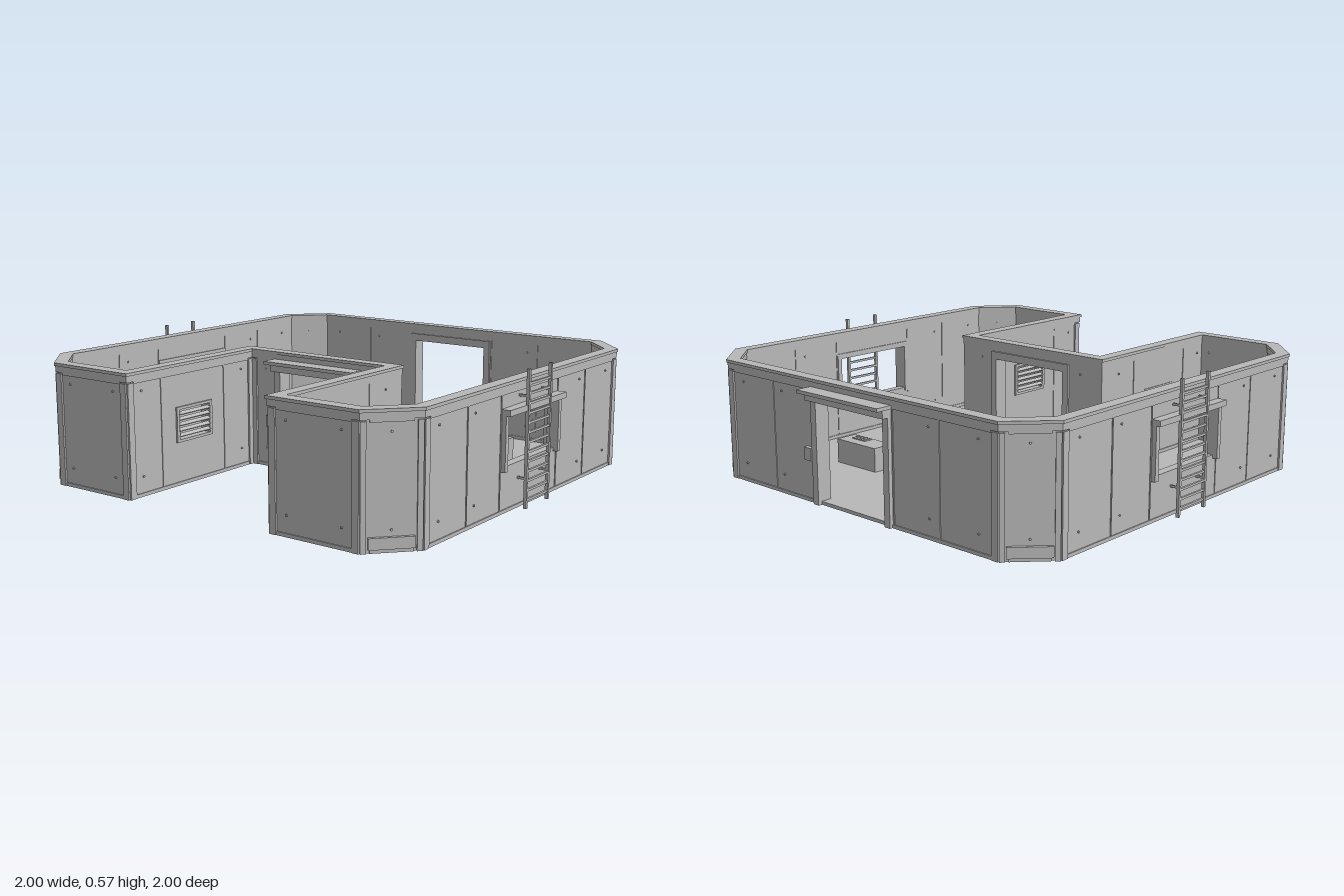
import * as THREE from 'three';

const grey = new THREE.MeshStandardMaterial({ color: 0xb8b8b8 });
grey.name = 'plain grey';

// Plan corners (x, z); the left half is mirrored to make the right half
const half = [[0.365, 0.22], [0.365, 1], [0.8, 1], [0.965, 0.82], [0.965, -0.76], [0.8, -0.93]];
const plan = [...half, ...half.map(([x, z]) => [-x, z]).reverse()]
  .map(([x, z]) => new THREE.Vector2(x, z));

const WALL_INSET = 0.012, THICK = 0.04, WALL_TOP = 0.5;

// Moves every side of a closed plan inward by d, with mitred corners
function inset(points, d) {
  const n = points.length;
  const normal = (i) => {
    const e = points[(i + 1) % n].clone().sub(points[i]).normalize();
    return new THREE.Vector2(e.y, -e.x);
  };
  return points.map((p, i) => {
    const a = normal((i + n - 1) % n), b = normal(i);
    return p.clone().addScaledVector(a.clone().add(b), d / (1 + a.dot(b)));
  });
}

function add(parent, name, geometry) {
  const mesh = new THREE.Mesh(geometry, grey);
  mesh.name = name;
  parent.add(mesh);
  return mesh;
}

// Box given by its ranges in x, y and z
function box(parent, name, [x0, x1], [y0, y1], [z0, z1]) {
  const mesh = add(parent, name, new THREE.BoxGeometry(x1 - x0, y1 - y0, z1 - z0));
  mesh.position.set((x0 + x1) / 2, (y0 + y1) / 2, (z0 + z1) / 2);
  return mesh;
}

// Horizontal slab or ring following the plan
function slab(parent, name, outer, inner, y0, y1) {
  const flip = (pts) => pts.map((p) => new THREE.Vector2(p.x, -p.y));
  const shape = new THREE.Shape(flip(outer));
  if (inner) shape.holes.push(new THREE.Path(flip(inner)));
  const geo = new THREE.ExtrudeGeometry(shape, { depth: y1 - y0, bevelEnabled: false });
  geo.rotateX(-Math.PI / 2).translate(0, y0, 0);
  add(parent, name, geo);
}

const rect = (x0, x1, y0, y1) => [[x0, y0], [x1, y0], [x1, y1], [x0, y1]]
  .map(([x, y]) => new THREE.Vector2(x, y));

// Door frame with projecting canopy and a keypad; +z is outward
function addDoor(g) {
  for (const s of [-1, 1]) {
    const post = box(g, 'doorPost', [-0.016, 0.016], [0, 0.455], [-THICK - 0.01, 0.018]);
    post.position.x = s * 0.216;
  }
  box(g, 'doorLintel', [-0.232, 0.232], [0.45, 0.485], [-THICK - 0.01, 0.045]);
  box(g, 'doorCanopy', [-0.24, 0.24], [0.485, 0.5], [0, 0.08]);
  box(g, 'keypad', [-0.28, -0.236], [0.185, 0.24], [0, 0.02]);
}

// Side window frame with a ladder standing in front of it
function addWindowAndLadder(g) {
  for (const s of [-1, 1]) {
    const jamb = box(g, 'windowJamb', [-0.011, 0.011], [0.175, 0.405], [-THICK - 0.006, 0.022]);
    jamb.position.x = s * 0.221;
    const rail = box(g, 'ladderRail', [-0.006, 0.006], [0, 0.575], [0.033, 0.047]);
    rail.position.x = s * 0.091;
    for (const y of [0.12, 0.46]) {
      const bracket = box(g, 'ladderBracket', [-0.004, 0.004], [y, y + 0.01], [0, 0.035]);
      bracket.position.x = s * 0.091;
    }
  }
  box(g, 'windowLintel', [-0.235, 0.235], [0.405, 0.43], [-THICK - 0.006, 0.042]);
  for (let i = 0; i < 13; i++) {
    const y = 0.035 + i * 0.04;
    box(g, 'ladderRung', [-0.09, 0.09], [y - 0.005, y + 0.005], [0.035, 0.045]);
  }
}

// Small louvred window facing the entry court
function addLouvre(g) {
  for (const s of [-1, 1]) {
    const side = box(g, 'louvreSide', [-0.008, 0.008], [0.19, 0.345], [-THICK - 0.004, 0.008]);
    side.position.x = s * 0.102;
  }
  for (const y of [0.19, 0.333]) {
    box(g, 'louvreFrame', [-0.11, 0.11], [y, y + 0.012], [-THICK - 0.004, 0.008]);
  }
  for (let i = 0; i < 5; i++) {
    const y = 0.22 + i * 0.024;
    box(g, 'louvreSlat', [-0.098, 0.098], [y - 0.002, y + 0.002], [-0.008, 0.012]).rotation.x = 0.5;
  }
}

const DOOR = { hole: [-0.2, 0.2, 0.015, 0.45], fit: addDoor };
const WINDOW = { hole: [-0.212, 0.212, 0.19, 0.405], fit: addWindowAndLadder };
const LOUVRE = { hole: [-0.096, 0.096, 0.2, 0.335], fit: addLouvre };
const fittings = { 0: LOUVRE, 3: WINDOW, 5: DOOR, 7: WINDOW, 10: LOUVRE, 11: DOOR };
const chamfers = [2, 4, 6, 8];

function addWall(parent, i, outer, inner) {
  const j = (i + 1) % outer.length;
  const a = outer[i], b = outer[j];
  const dir = b.clone().sub(a), L = dir.length(), h = L / 2;
  const mid = a.clone().add(b).multiplyScalar(0.5);
  dir.normalize();
  const g = new THREE.Group();
  g.name = 'wall';
  g.position.set(mid.x, 0, mid.y);
  g.rotation.y = Math.atan2(-dir.y, dir.x);
  parent.add(g);

  // Panel with its opening, ends mitred to meet the next walls
  const fit = fittings[i];
  const shape = new THREE.Shape(rect(-h, h, 0, WALL_TOP));
  if (fit) shape.holes.push(new THREE.Path(rect(...fit.hole)));
  const geo = new THREE.ExtrudeGeometry(shape, { depth: THICK, bevelEnabled: false });
  geo.translate(0, 0, -THICK);
  const pos = geo.attributes.position;
  const ends = [inner[i], inner[j]].map((p) => p.clone().sub(mid).dot(dir));
  for (let k = 0; k < pos.count; k++) {
    if (pos.getZ(k) < -THICK / 2 && Math.abs(pos.getX(k)) > h - 1e-4) {
      pos.setX(k, pos.getX(k) < 0 ? ends[0] : ends[1]);
    }
  }
  geo.computeVertexNormals();
  add(g, 'wallPanel', geo);
  if (fit) fit.fit(g);

  // Corner posts, skirting and top strip
  const isChamfer = chamfers.includes(i);
  const postW = isChamfer ? 0.022 : 0.032;
  for (const s of [-1, 1]) {
    const post = box(g, 'cornerPost', [-postW / 2, postW / 2], [0, 0.49], [0, 0.008]);
    post.position.x = s * (h - postW / 2);
  }
  const e = h - 0.035;
  const spans = fit === DOOR ? [[-e, -0.232], [0.232, e]] : [[-e, e]];
  for (const span of spans) {
    box(g, 'skirting', span, [0, 0.015], [0, 0.005]);
    box(g, 'innerSkirting', span, [0.015, 0.03], [-THICK - 0.005, -THICK]);
  }
  box(g, 'topStrip', [-e, e], [0.485, 0.495], [0, 0.005]);
  if (isChamfer) box(g, 'kickPlate', [-0.088, 0.088], [0.015, 0.06], [0, 0.014]);

  // Panel seams and bolts
  const seams = L > 1 ? [0.3, 0.62] : fit === DOOR ? [] : L > 0.6 ? [0.5] : [];
  for (const s of [-1, 1]) {
    for (const f of seams) {
      const u = s * f * h;
      box(g, 'panelSeam', [u - 0.003, u + 0.003], [0.015, 0.49], [-THICK - 0.003, 0.003]);
    }
    for (const u of isChamfer ? [0] : L > 1 ? [h - 0.1, h * 0.55] : [h - 0.08]) {
      for (const y of [0.085, 0.45]) {
        const bolt = add(g, 'bolt', new THREE.CylinderGeometry(0.005, 0.005, THICK + 0.01, 8));
        bolt.rotation.x = Math.PI / 2;
        bolt.position.set(s * u, y, -THICK / 2);
      }
    }
    if (isChamfer) break;
  }
}

export function createModel() {
  const model = new THREE.Group();
  model.name = 'outpost';
  const outer = inset(plan, WALL_INSET), inner = inset(plan, WALL_INSET + THICK);

  slab(model, 'floor', outer, null, 0, 0.015);
  for (let i = 0; i < plan.length; i++) addWall(model, i, outer, inner);
  slab(model, 'rimBand', inset(plan, 0.005), inset(plan, 0.054), 0.495, 0.522);
  slab(model, 'rimCap', plan, inset(plan, 0.058), 0.522, 0.535);

  // Consoles on the floor, one with a button panel
  for (const s of [-1, 1]) {
    box(model, 'console', [-0.125, 0.125], [0.015, 0.125], [-0.49, -0.385]).position.x = s * 0.467;
  }
  box(model, 'buttonPanel', [0.463, 0.545], [0.125, 0.13], [-0.44, -0.4]);
  for (let i = 0; i < 3; i++) {
    const button = add(model, 'button', new THREE.CylinderGeometry(0.01, 0.01, 0.008, 12));
    button.position.set(0.48 + i * 0.024, 0.133, -0.42);
  }
  return model;
}
